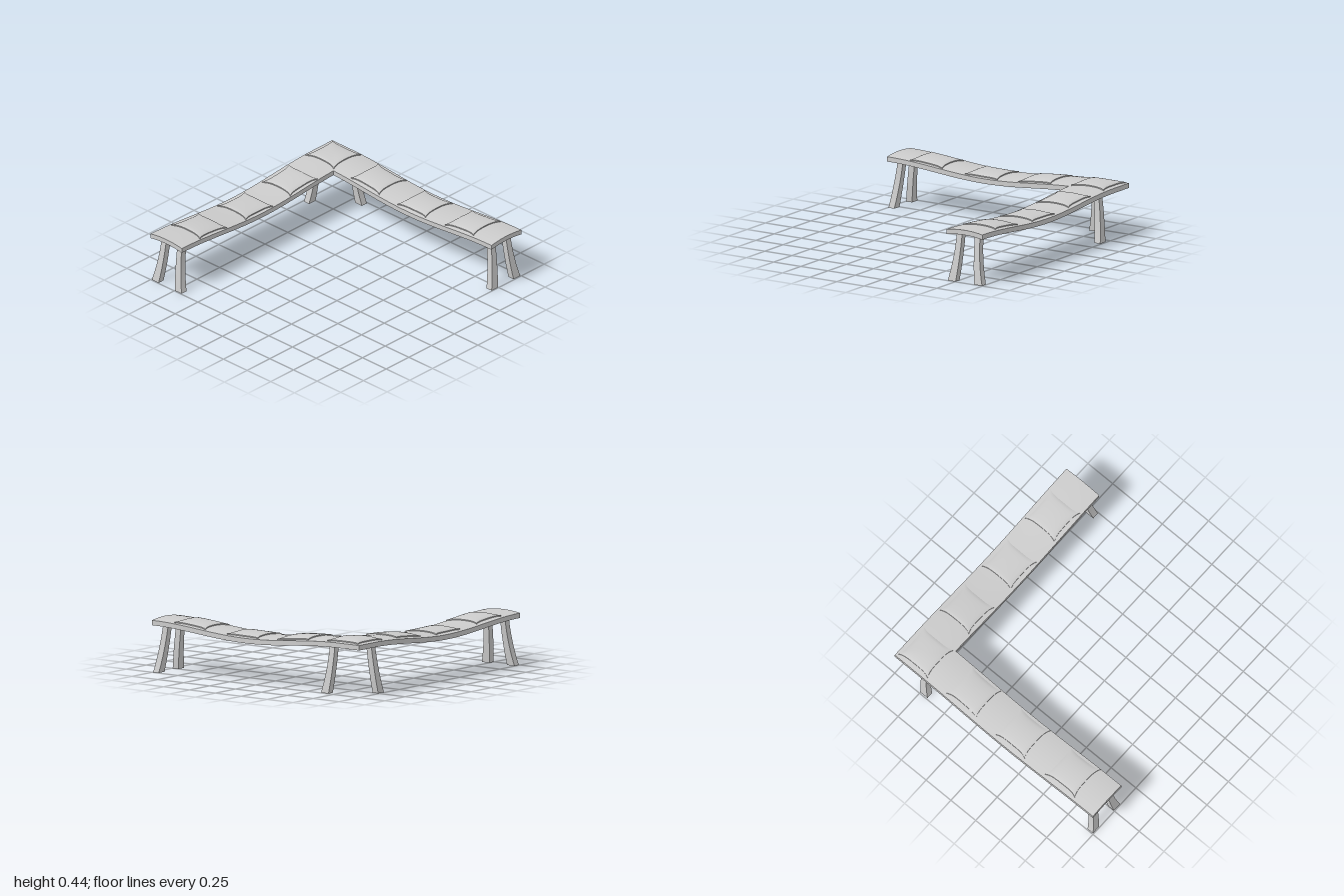
import * as THREE from 'three';
import { toCreasedNormals } from 'three/addons/utils/BufferGeometryUtils.js';

const WIDTH = 0.33;
const THICK = 0.038;
const material = new THREE.MeshStandardMaterial({ color: 0xcccccc });

// Height of the seat top: sags along each arm, crowned across it, mitred at the corner
function seatTop(x, z) {
  const along = Math.max(x, z);
  const across = (Math.min(x, z) + 1) / WIDTH * 2 - 1;
  const t = THREE.MathUtils.clamp((along - 0.1) / 0.9, -1, 1);
  const sag = 0.052 * (1 + Math.cos(Math.PI * t)) / 2;
  return 0.402 - sag + 0.015 * (1 - Math.min(1, across * across));
}

function makeMesh(name, geometry, crease = 0.6) {
  const mesh = new THREE.Mesh(toCreasedNormals(geometry, crease), material);
  mesh.name = name;
  return mesh;
}

// L-shaped seat: one cross-section swept down both arms through the mitre
function makeSeat() {
  const across = 10, along = 28, ringSize = 2 * (across + 1);
  const positions = [], index = [];
  for (let i = 0; i <= 2 * along; i++) {
    const t = Math.abs(i - along) / along;
    for (let j = 0; j < ringSize; j++) {
      const top = j <= across;
      const a = (top ? j : ringSize - 1 - j) / across * WIDTH;
      const far = THREE.MathUtils.lerp(-1 + a, 1, t);
      const [x, z] = i < along ? [-1 + a, far] : [far, -1 + a];
      positions.push(x, seatTop(x, z) - (top ? 0 : THICK), z);
    }
  }
  for (let i = 0; i < 2 * along; i++) {
    for (let j = 0; j < ringSize; j++) {
      const k = (j + 1) % ringSize;
      const a = i * ringSize + j, b = i * ringSize + k;
      index.push(a, b, a + ringSize, b, b + ringSize, a + ringSize);
    }
  }
  // End faces
  const last = 2 * along * ringSize;
  for (let j = 0; j < across; j++) {
    const k = ringSize - 1 - j;
    index.push(last + j, last + j + 1, last + k, last + j + 1, last + k - 1, last + k);
    index.push(j, k, j + 1, j + 1, k, k - 1);
  }
  const geometry = new THREE.BufferGeometry();
  geometry.setAttribute('position', new THREE.Float32BufferAttribute(positions, 3));
  geometry.setIndex(index);
  return makeMesh('seat', geometry);
}

// Thin cushion with pinched sides and pointed corners, following the seat surface
function makeCushion(cx, cz) {
  const geometry = new THREE.BoxGeometry(2, 2, 2, 16, 1, 16);
  const p = geometry.attributes.position;
  for (let i = 0; i < p.count; i++) {
    const u = p.getX(i), v = p.getZ(i);
    const x = cx + 0.149 * u * (1 - 0.14 * (1 - v ** 4) * u * u);
    const z = cz + 0.149 * v * (1 - 0.14 * (1 - u ** 4) * v * v);
    const dome = Math.sqrt(Math.max(0, (1 - u * u) * (1 - v * v)));
    const lift = p.getY(i) > 0 ? 0.008 + 0.01 * dome : -0.004;
    p.setXYZ(i, x, seatTop(x, z) + lift, z);
  }
  return makeMesh('cushion', geometry, 0.8);
}

// Leg that flares in a curve along one axis and leans straight along the other
function makeLeg(curveAxis, curveTop, curveFoot, leanTop, leanFoot) {
  const height = 0.385;
  const geometry = new THREE.BoxGeometry(1, 1, 1, 1, 10, 1);
  const p = geometry.attributes.position;
  const { lerp } = THREE.MathUtils;
  for (let i = 0; i < p.count; i++) {
    const t = 0.5 - p.getY(i);
    const curved = c => lerp(curveTop, curveFoot, t * t) + c * lerp(0.048, 0.072, t * t);
    const leaning = c => lerp(leanTop, leanFoot, t) + c * lerp(0.048, 0.054, t);
    const x = p.getX(i), z = p.getZ(i);
    if (curveAxis === 'x') p.setXYZ(i, curved(x), height * (1 - t), leaning(z));
    else p.setXYZ(i, leaning(x), height * (1 - t), curved(z));
  }
  return makeMesh('leg', geometry);
}

export function createModel() {
  const model = new THREE.Group();
  model.name = 'cornerBench';
  model.add(makeSeat());

  // Cushions: one at the corner, three along each arm
  const cushions = new THREE.Group();
  cushions.name = 'cushions';
  cushions.add(makeCushion(-0.83, -0.835));
  for (const d of [-0.35, 0.14, 0.645]) {
    cushions.add(makeCushion(d, -0.835), makeCushion(-0.825, d));
  }
  model.add(cushions);

  // Legs: a pair at the end of each arm and a pair at the corner
  const legs = new THREE.Group();
  legs.name = 'legs';
  for (const axis of ['x', 'z']) {
    legs.add(makeLeg(axis, -0.915, -0.957, 0.913, 0.967));
    legs.add(makeLeg(axis, -0.75, -0.714, 0.913, 0.967));
  }
  legs.add(makeLeg('x', -0.697, -0.66, -0.915, -0.963));
  legs.add(makeLeg('z', -0.75, -0.714, -0.915, -0.963));
  model.add(legs);
  return model;
}
